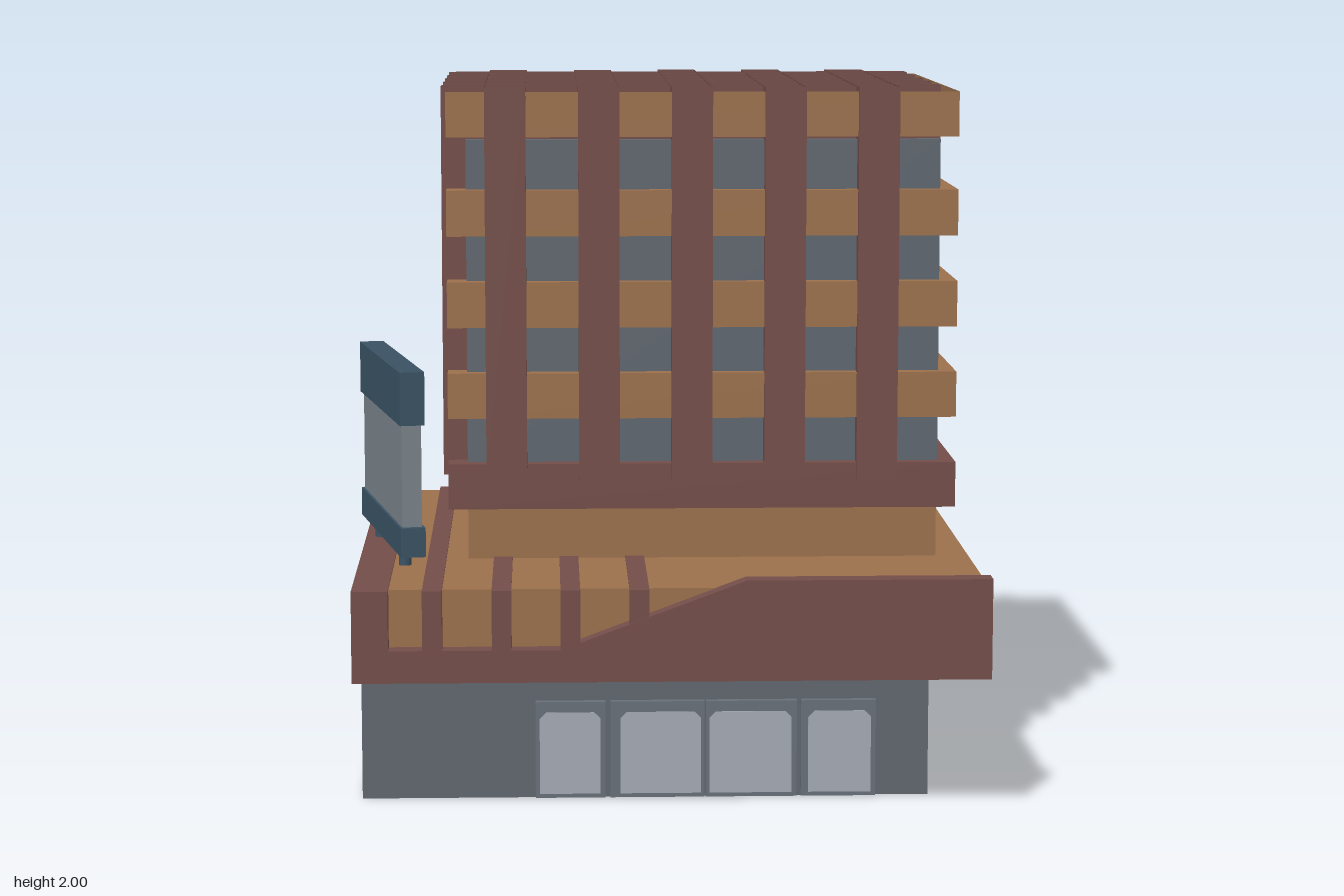
import * as THREE from 'three';

const mat = (name, color, side = THREE.FrontSide) => {
  const m = new THREE.MeshStandardMaterial({ color, side });
  m.name = name;
  return m;
};

export function createModel() {
  const model = new THREE.Group();
  model.name = 'officeBuilding';

  const tan = mat('tanConcrete', 0x9b704c, THREE.DoubleSide);
  const maroon = mat('maroonBrick', 0x734d49, THREE.DoubleSide);
  const grey = mat('greyWall', 0x5f666e);
  const frameGrey = mat('doorFrameGrey', 0x686f77);
  const glass = mat('doorGlass', 0xa4a8b2);
  const navy = mat('navySign', 0x3a5263);
  const panel = mat('signPanelGrey', 0x7b838a);

  const add = (name, geometry, material, parent = model) => {
    const mesh = new THREE.Mesh(geometry, material);
    mesh.name = name;
    parent.add(mesh);
    return mesh;
  };

  // Box given by its limits on each axis; an open box has no top face
  const box = (name, material, [x0, x1], [y0, y1], [z0, z1], open = false, parent = model) => {
    const g = new THREE.BoxGeometry(x1 - x0, y1 - y0, z1 - z0);
    g.translate((x0 + x1) / 2, (y0 + y1) / 2, (z0 + z1) / 2);
    if (open) {
      const index = Array.from(g.index.array);
      index.splice(12, 6);
      g.setIndex(index);
      g.clearGroups();
    }
    return add(name, g, material, parent);
  };

  // Ground floor
  box('groundFloor', grey, [-0.86, 0.745], [0, 0.44], [-0.82, 0.582]);

  // Entrance doors: frame with a clipped-corner glass plate
  const doors = [
    [-0.37, -0.172, -0.358, -0.186],
    [-0.158, 0.108, -0.13, 0.098],
    [0.112, 0.37, 0.122, 0.355],
    [0.382, 0.594, 0.402, 0.58],
  ];
  for (const [f0, f1, g0, g1] of doors) {
    box('doorFrame', frameGrey, [f0, f1], [0.003, 0.28], [0.57, 0.603]);
    const c = 0.018;
    const pane = new THREE.Shape([
      [g0, 0.015], [g1, 0.015], [g1, 0.25 - c], [g1 - c, 0.25], [g0 + c, 0.25], [g0, 0.25 - c],
    ].map(([x, y]) => new THREE.Vector2(x, y)));
    add('doorPane', new THREE.ExtrudeGeometry(pane, { depth: 0.004, bevelEnabled: false }), glass)
      .position.z = 0.602;
  }

  // Podium canopy
  box('canopySlab', tan, [-0.8, 0.88], [0.43, 0.65], [-0.857, 0.835]);
  box('canopyEndBeam', maroon, [-0.87, -0.77], [0.4, 0.655], [-0.895, 0.888]);
  for (const x of [-0.65, -0.46, -0.272, -0.083]) {
    box('canopyRib', maroon, [x - 0.027, x + 0.027], [0.403, 0.655], [-0.895, 0.887]);
  }

  // Front fascia with sloping top
  const fascia = new THREE.Shape([
    [-0.87, 0.4], [0.885, 0.4], [0.885, 0.68], [0.21, 0.68], [-0.245, 0.51], [-0.245, 0.49], [-0.87, 0.49],
  ].map(([x, y]) => new THREE.Vector2(x, y)));
  add('frontFascia', new THREE.ExtrudeGeometry(fascia, { depth: 0.06, bevelEnabled: false }), maroon)
    .position.z = 0.83;

  // Tower
  box('towerNeck', tan, [-0.56, 0.785], [0.64, 0.81], [-0.74, 0.366]);
  box('towerLedge', maroon, [-0.615, 0.835], [0.8, 0.93], [-0.782, 0.409]);
  box('towerWalls', grey, [-0.56, 0.787], [0.9, 1.85], [-0.74, 0.367]);
  for (const [y0, y1] of [[1.06, 1.19], [1.32, 1.45], [1.58, 1.71], [1.86, 1.987]]) {
    box('floorBand', tan, [-0.615, 0.835], [y0, y1], [-0.787, 0.405], y1 > 1.9);
  }

  // Piers cross the whole tower and form an open lattice at the roof
  for (let i = 0; i < 5; i++) {
    const x = -0.448 + i * 0.264;
    box('frontBackPier', maroon, [x - 0.058, x + 0.058], [0.885, 2], [-0.801, 0.42], true);
    const z = 0.27 - i * 0.2275;
    box('sidePier', maroon, [-0.63, 0.791], [0.887, 1.999], [z - 0.051, z + 0.051], true);
  }

  // Freestanding sign, turned slightly
  const sign = new THREE.Group();
  sign.name = 'roofSign';
  sign.position.set(-0.782, 0, 0.236);
  sign.rotation.y = Math.atan2(0.147, 0.737);
  model.add(sign);
  box('signTop', navy, [-0.035, 0.035], [1.07, 1.22], [-0.376, 0.376], false, sign);
  box('signBase', navy, [-0.035, 0.035], [0.697, 0.78], [-0.376, 0.376], false, sign);
  box('signPanel', panel, [-0.028, 0.028], [0.775, 1.075], [-0.355, 0.355], false, sign);
  for (const z of [-0.225, 0.225]) {
    const leg = add('signLeg', new THREE.CylinderGeometry(0.018, 0.018, 0.07, 12), navy, sign);
    leg.position.set(0, 0.675, z);
  }

  return model;
}
